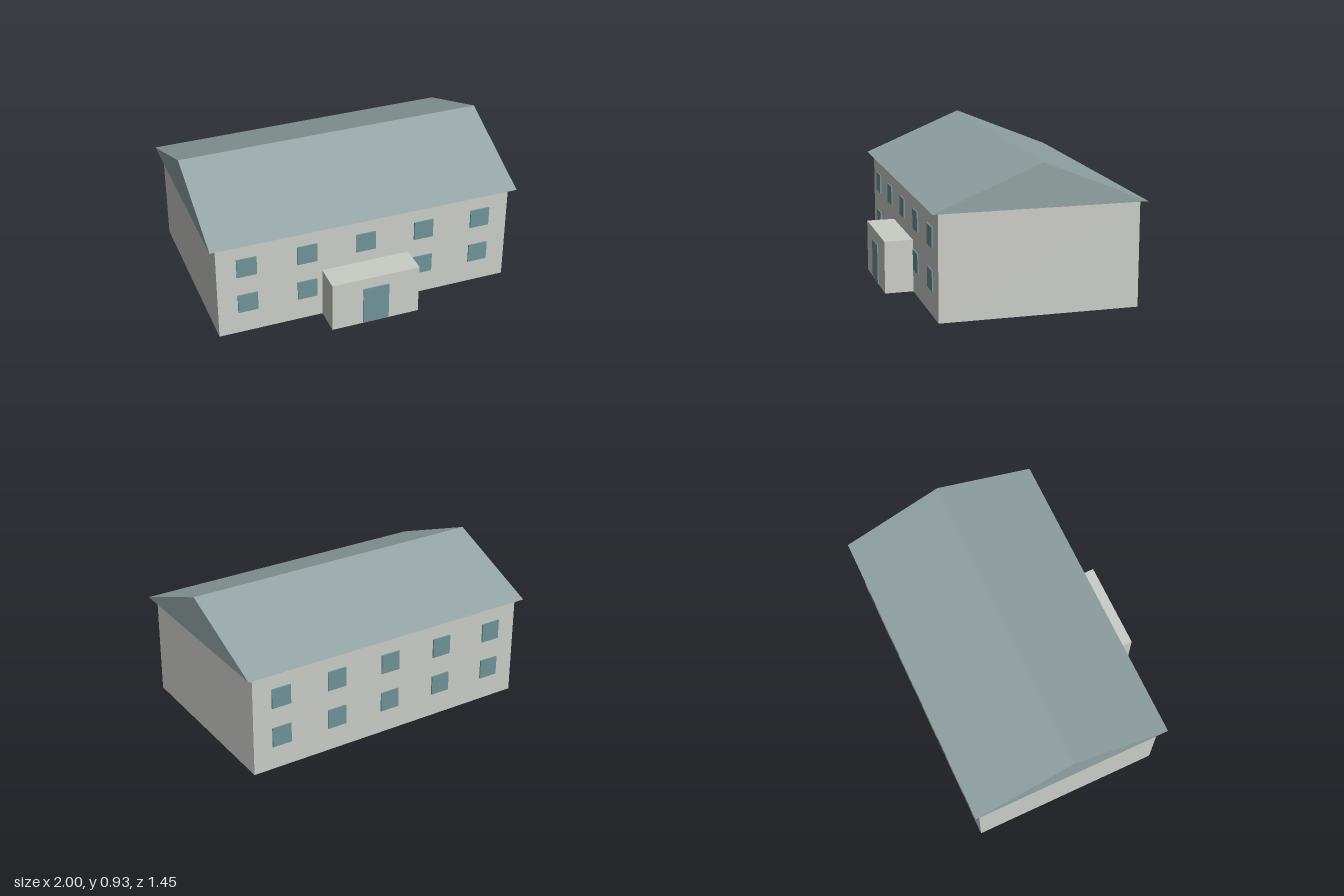
import * as THREE from 'three';

const wallMat = new THREE.MeshStandardMaterial({ color: 0xcaccc6 });
const roofMat = new THREE.MeshStandardMaterial({ color: 0x91a2a2 });
const glassMat = new THREE.MeshStandardMaterial({ color: 0x6f9297 });

// Box given by its minimum and maximum corners
function box(name, mat, [x0, y0, z0], [x1, y1, z1]) {
  const mesh = new THREE.Mesh(new THREE.BoxGeometry(x1 - x0, y1 - y0, z1 - z0), mat);
  mesh.position.set((x0 + x1) / 2, (y0 + y1) / 2, (z0 + z1) / 2);
  mesh.name = name;
  return mesh;
}

export function createModel() {
  const house = new THREE.Group();
  house.name = 'house';
  const back = -0.69, front = 0.54, eaves = 0.657;

  // Main block and entrance porch
  house.add(box('walls', wallMat, [-0.96, 0, back], [0.96, eaves, front]));
  house.add(box('porch', wallMat, [-0.287, 0, front], [0.287, 0.333, 0.72]));
  house.add(box('door', glassMat, [-0.085, 0.005, 0.715], [0.085, 0.26, 0.727]));

  // Gable roof: triangle in the z-y plane, extruded along x
  const gable = new THREE.Shape([
    new THREE.Vector2(-0.58, eaves),
    new THREE.Vector2(0.727, eaves),
    new THREE.Vector2(0.075, 0.925),
  ]);
  const roofGeo = new THREE.ExtrudeGeometry(gable, { depth: 2, bevelEnabled: false });
  roofGeo.translate(0, 0, -1).rotateY(Math.PI / 2);
  const roof = new THREE.Mesh(roofGeo, roofMat);
  roof.name = 'roof';
  house.add(roof);

  // Two rows of five windows on front and back; the porch replaces one in front
  const windows = new THREE.Group();
  windows.name = 'windows';
  const half = 0.0635;
  for (const [side, z] of [['front', front + 0.003], ['back', back - 0.003]]) {
    for (const [row, y] of [['lower', 0.218], ['upper', 0.48]]) {
      for (let i = -2; i <= 2; i++) {
        if (side === 'front' && row === 'lower' && i === 0) continue;
        const x = i * 0.385;
        windows.add(box(`${side} ${row} window`, glassMat,
          [x - half, y - half, z - 0.006], [x + half, y + half, z + 0.006]));
      }
    }
  }
  house.add(windows);
  return house;
}
